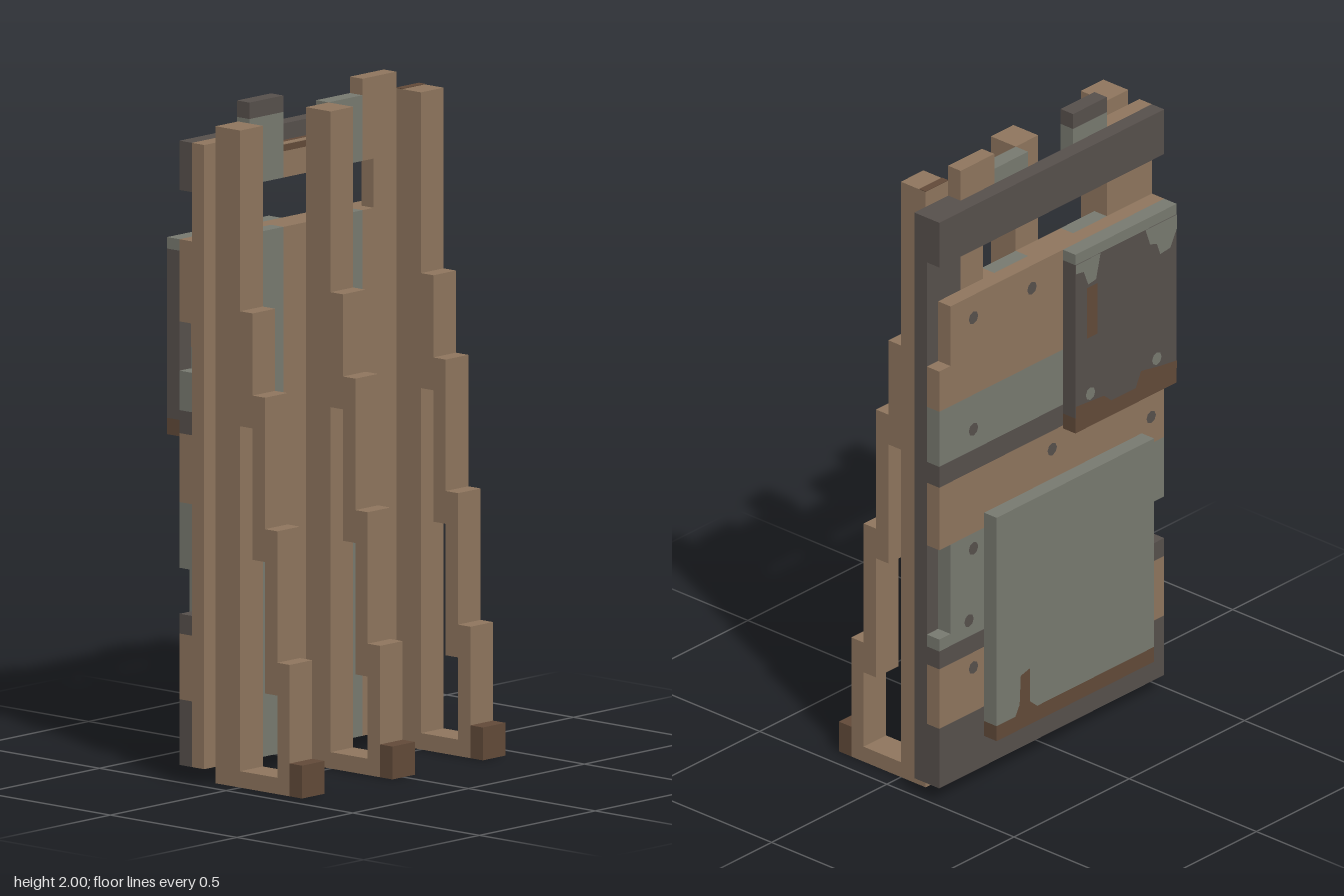
import * as THREE from 'three';

const U = 2 / 41; // one building unit

function mat(name, color) {
  const m = new THREE.MeshStandardMaterial({ color });
  m.name = name;
  return m;
}

export function createModel() {
  const wood = mat('brown wood', 0x8f765e);
  const grey = mat('weathered grey', 0x787a70);
  const dark = mat('dark timber', 0x57504c);
  const rust = mat('rust brown', 0x624a39);
  const model = new THREE.Group();
  model.name = 'barricade';

  // Box from minimum and maximum corners, in units
  function box(parent, name, m, x0, x1, y0, y1, z0, z1) {
    const mesh = new THREE.Mesh(new THREE.BoxGeometry((x1 - x0) * U, (y1 - y0) * U, (z1 - z0) * U), m);
    mesh.position.set((x0 + x1) / 2 * U, (y0 + y1) / 2 * U, (z0 + z1) / 2 * U);
    mesh.name = name;
    parent.add(mesh);
  }

  // Flat painted patch facing the back, outlined in units
  function patch(name, m, points, z) {
    const shape = new THREE.Shape(points.map(([x, y]) => new THREE.Vector2(-x * U, y * U)));
    const mesh = new THREE.Mesh(new THREE.ShapeGeometry(shape).rotateY(Math.PI), m);
    mesh.position.z = z * U - 0.002;
    mesh.name = name;
    model.add(mesh);
  }

  function nail(m, x, y, z) {
    const mesh = new THREE.Mesh(new THREE.CircleGeometry(0.42 * U, 8).rotateY(Math.PI), m);
    mesh.position.set(x * U, y * U, z * U - 0.002);
    mesh.name = 'nail';
    model.add(mesh);
  }

  // Three posts, each with a foot and a stepped brace: [z, bottom, top]
  const steps = [[3, 1, 8], [2, 6, 16], [1, 14, 24], [0, 22, 29]];
  for (const x of [-8, 0, 8]) {
    const frame = new THREE.Group();
    frame.name = 'postAndBrace';
    model.add(frame);
    box(frame, 'post', wood, x - 1, x + 1, 0, 40, -2, 0);
    box(frame, 'foot', wood, x - 1, x + 1, 0, 1, 0, 4);
    box(frame, 'footTip', rust, x - 1, x + 1, 0, 2, 4, 5);
    for (const [z, y0, y1] of steps) box(frame, 'braceStep', wood, x - 1, x + 1, y0, y1, z, z + 1);
  }
  box(model, 'postTopStain', rust, 7, 9, 40, 40.04, -2, -1.5);

  // Upright planks: [x0, x1, top, material]
  const planks = [
    [-10, -6, 39, wood], [-6, -3, 41, grey], [-3, 1, 38, wood],
    [1, 4, 40, grey], [4, 7, 41, wood], [7, 10, 39, dark],
  ];
  for (const [x0, x1, top, m] of planks) {
    const gapEnd = Math.min(x1, 5); // the viewing slot runs from -6 to 5
    if (x0 < -6 || x0 >= 5) {
      box(model, 'plank', m, x0, x1, 1, top, -3, -2);
      continue;
    }
    const tip = x0 === -6 ? [1, dark] : x0 === -3 ? [0.4, rust] : [0, m];
    box(model, 'plankLower', m, x0, x1, 1, 33, -3, -2);
    box(model, 'plankUpper', m, x0, x1, 36, top - tip[0], -3, -2);
    if (tip[0]) box(model, 'plankTip', tip[1], x0, x1, top - tip[0], top, -3, -2);
    if (gapEnd < x1) box(model, 'plankMiddle', m, gapEnd, x1, 33, 36, -3, -2);
  }
  box(model, 'plankTipTop', wood, -3, 1, 38, 38.04, -2.5, -2);

  // Horizontal boards and beams on the back: [bottom, top, x0, x1, material]
  const boards = [
    [1, 5, -10, 10, dark], [5, 9, -10, 10, wood], [9, 10.2, -10, 10, dark],
    [10.2, 11, -9, 10, grey], [11, 13, -9, 9, grey], [13, 17, -10, 9, grey],
    [17, 21.2, -10, 10, wood], [21.2, 22.6, -10, 10, dark], [22.6, 25, -10, 10, grey],
    [25, 26.3, -9, 10, grey], [26.3, 28, -9, 10, wood], [28, 29, -10, 10, wood],
    [29, 33, -10, 9, wood], [36, 39, -10, 10, dark],
  ];
  for (const [y0, y1, x0, x1, m] of boards) box(model, 'backBoard', m, x0, x1, y0, y1, -4, -3);

  // Upper plate with worn top, rusty bottom and chipped corners
  box(model, 'upperPlate', dark, -10, -1, 22, 32.3, -5, -4);
  box(model, 'upperPlateTop', grey, -10, -1, 32.3, 33, -5, -4);
  box(model, 'upperPlateBottom', rust, -10, -1, 21, 22, -5, -4);
  patch('wornCorner', grey, [[-1, 32.3], [-1, 31.7], [-1.7, 31.6], [-2.1, 30.6], [-2.8, 30.7], [-3.2, 32.3]], -5);
  patch('wornCorner', grey, [[-7.2, 32.3], [-7.6, 31.2], [-8.2, 31], [-8.5, 30.2], [-9.4, 30.3], [-10, 31.4], [-10, 32.3]], -5);
  patch('rustStain', rust, [[-2, 30.4], [-2, 27], [-2.9, 27], [-2.9, 30.4]], -5);
  patch('rustEdge', rust, [[-1, 22], [-1, 22.8], [-3.5, 22.6], [-4.2, 22], [-6.3, 22], [-6.8, 23], [-8.5, 22.7], [-10, 22.5], [-10, 22]], -5);
  nail(grey, -2.3, 23.2, -5);
  nail(grey, -8.2, 23.3, -5);

  // Lower plate with rusty bottom
  box(model, 'lowerPlate', grey, -8, 6, 4, 18, -5, -4);
  box(model, 'lowerPlateBottom', rust, -8, 6, 3, 4, -5, -4);
  patch('rustStain', rust, [[4.4, 4], [4, 4.7], [3.9, 6.6], [3.1, 6.8], [3.1, 4.6], [2.4, 4]], -5);

  // Nail heads on the boards
  const nails = [[7, 31.5], [1.8, 31.5], [7, 24], [0, 20], [7, 16], [7.4, 11.3], [7, 8], [-8.8, 18.8], [-8.5, 10.8]];
  for (const [x, y] of nails) nail(dark, x, y, -4);

  return model;
}
